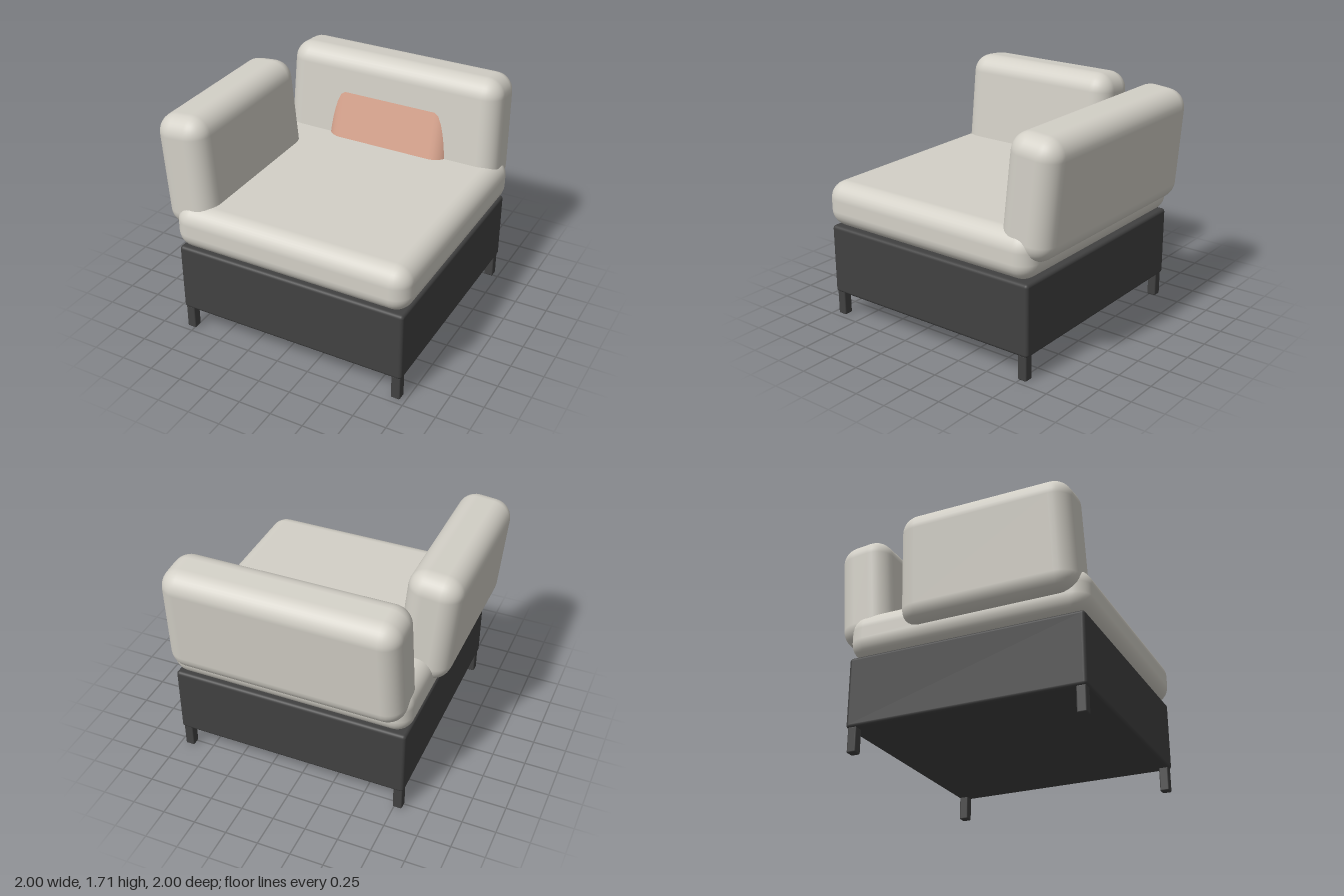
import * as THREE from 'three';
import { RoundedBoxGeometry } from 'three/addons/geometries/RoundedBoxGeometry.js';

const fabric = new THREE.MeshStandardMaterial({ name: 'paleFabric', color: 0xd3d0c7 });
const dark = new THREE.MeshStandardMaterial({ name: 'charcoal', color: 0x414141 });
const terracotta = new THREE.MeshStandardMaterial({ name: 'terracotta', color: 0xd8a48e });

// Rounded block; taper narrows its width towards the top
function block(name, material, [w, h, d], radius, [x, y, z], taper = 0) {
  const geometry = new RoundedBoxGeometry(w, h, d, 4, radius);
  const p = geometry.attributes.position;
  for (let i = 0; i < p.count; i++) p.setX(i, p.getX(i) * (1 - taper * p.getY(i)));
  const mesh = new THREE.Mesh(geometry, material);
  mesh.name = name;
  mesh.position.set(x, y, z);
  return mesh;
}

export function createModel() {
  const model = new THREE.Group();
  model.name = 'cornerArmchair';

  // Base and seat, offset towards the open sides
  model.add(block('base', dark, [1.79, 0.535, 1.79], 0.025, [0.075, 0.4475, 0.075]));
  model.add(block('seatCushion', fabric, [1.845, 0.345, 1.845], 0.13, [0.0775, 0.8875, 0.0775]));

  // Four short legs
  for (const x of [-0.775, 0.925]) {
    for (const z of [-0.77, 0.925]) {
      model.add(block('leg', dark, [0.07, 0.19, 0.07], 0.01, [x, 0.095, z]));
    }
  }

  // Back cushion leaning backwards
  const back = block('backCushion', fabric, [1.765, 0.86, 0.4], 0.14, [0.073, 1.28, -0.772], 0.035);
  back.rotation.x = -0.09;
  model.add(back);

  // Arm cushion on the model's right, leaning outwards
  const arm = new THREE.Group();
  arm.name = 'armCushion';
  const armPad = block('armPad', fabric, [1.325, 0.86, 0.4], 0.14, [0, 0, 0], 0.035);
  armPad.rotation.y = -Math.PI / 2;
  arm.add(armPad);
  arm.position.set(-0.772, 1.28, 0.28);
  arm.rotation.z = 0.09;
  model.add(arm);

  // Lumbar pillow tucked between seat and back
  const pillow = block('lumbarPillow', terracotta, [1.02, 0.78, 0.28], 0.13, [0.078, 1.144, -0.657]);
  pillow.rotation.x = -0.26;
  model.add(pillow);

  return model;
}
